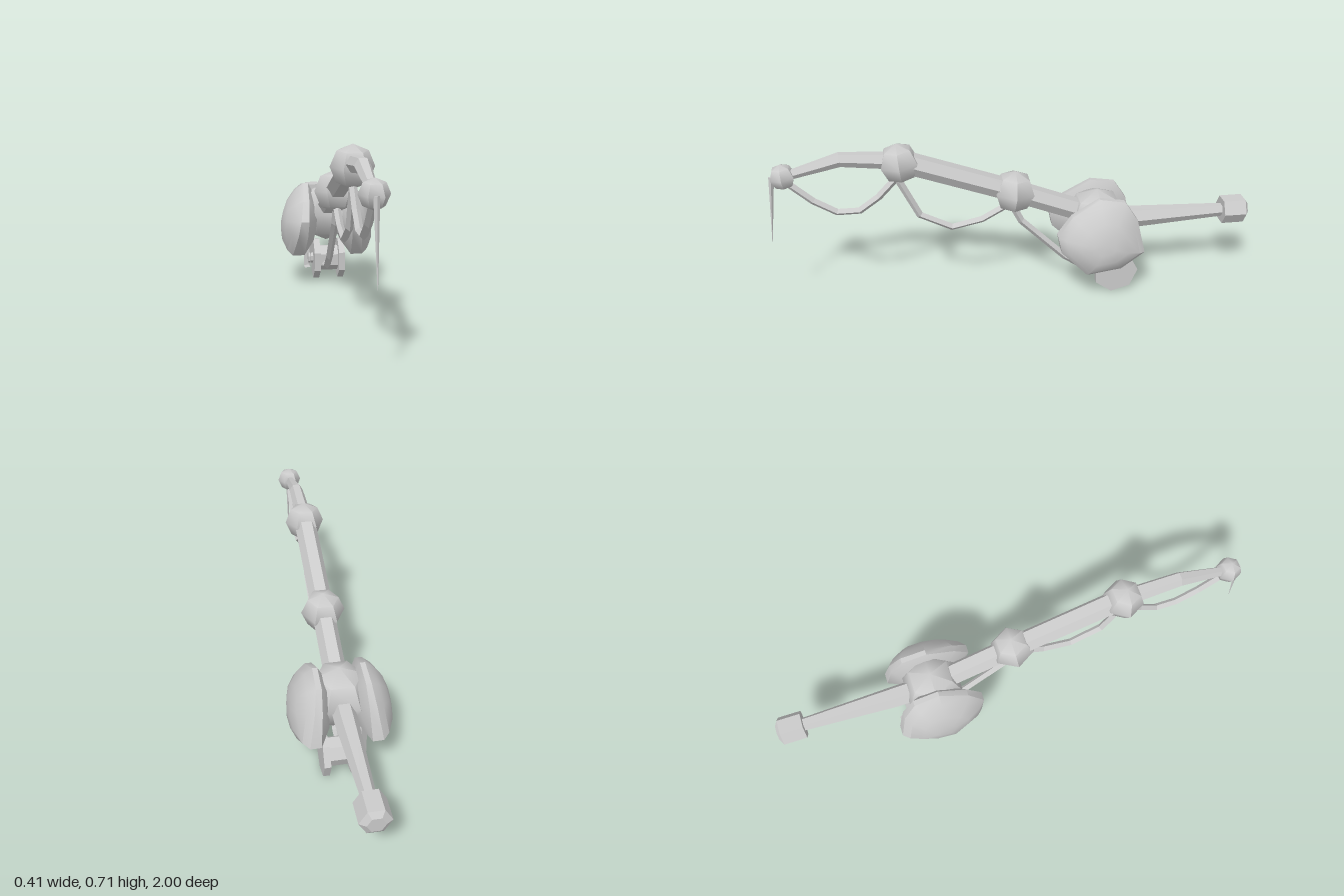
import * as THREE from 'three';
import { toCreasedNormals } from 'three/addons/utils/BufferGeometryUtils.js';

const material = new THREE.MeshStandardMaterial({ color: 0xcccccc });
const V = (x, y, z) => new THREE.Vector3(x, y, z);

// Skin a list of rings (equal point counts) and close both ends
function loft(rings, crease) {
  const pos = [];
  const tri = (a, b, c) => { for (const p of [a, b, c]) pos.push(p.x, p.y, p.z); };
  const middle = r => r.reduce((s, p) => s.add(p), V(0, 0, 0)).divideScalar(r.length);
  const n = rings[0].length, last = rings[rings.length - 1];
  const m0 = middle(rings[0]), m1 = middle(last);
  for (let j = 0; j < n; j++) {
    const k = (j + 1) % n;
    tri(m0, rings[0][k], rings[0][j]);
    tri(m1, last[j], last[k]);
    for (let i = 0; i < rings.length - 1; i++) {
      const a = rings[i], b = rings[i + 1];
      tri(a[j], a[k], b[k]);
      tri(a[j], b[k], b[j]);
    }
  }
  const g = new THREE.BufferGeometry();
  g.setAttribute('position', new THREE.Float32BufferAttribute(pos, 3));
  return toCreasedNormals(g, crease);
}

// Many-sided bar along a path of [z, y, radius] in the middle plane
function bar(path, sides) {
  const rings = path.map(([z, y, r], i) => {
    const a = path[Math.max(i - 1, 0)], b = path[Math.min(i + 1, path.length - 1)];
    const t = V(0, b[1] - a[1], b[0] - a[0]).normalize();
    return Array.from({ length: sides }, (_, j) => {
      const q = j / sides * Math.PI * 2, h = r * Math.sin(q);
      return V(r * Math.cos(q), y + h * t.z, z - h * t.y);
    });
  });
  return loft(rings, 0.1);
}

export function createModel() {
  const model = new THREE.Group();
  const add = (name, geometry) => {
    const mesh = new THREE.Mesh(geometry, material);
    mesh.name = name;
    model.add(mesh);
    return mesh;
  };

  // Rod: handle, shaft and tapering tip
  add('handle', bar([[-0.91, 0.318, 0.027], [-0.5, 0.313, 0.046], [-0.34, 0.325, 0.046]], 6));
  add('shaft', bar([[-0.34, 0.335, 0.046], [0.01, 0.473, 0.046], [0.47, 0.64, 0.046]], 6));
  add('tipRod', bar([[0.47, 0.64, 0.036], [0.7, 0.66, 0.03], [0.92, 0.6, 0.018]], 6));
  add('buttCap', bar([[-1, 0.318, 0.035], [-0.985, 0.318, 0.06], [-0.89, 0.318, 0.06]], 6));

  // Faceted beads on the rod and the hub
  for (const [name, z, y, r, tilt] of [
    ['hub', -0.34, 0.325, 0.13, 0],
    ['lowerBead', 0.01, 0.471, 0.09, -0.08],
    ['upperBead', 0.47, 0.63, 0.083, 0.1],
    ['tipBead', 0.925, 0.6, 0.053, 0.1],
  ]) {
    const bead = add(name, toCreasedNormals(new THREE.SphereGeometry(r, 6, 4), 0.9));
    bead.position.set(0, y, z);
    bead.rotation.x = tilt;
  }

  // Domed side shells, splayed outwards at the bottom: [z, y] outline
  const outline = [[-0.33, 0.458], [-0.215, 0.39], [-0.155, 0.31], [-0.17, 0.24], [-0.275, 0.137],
    [-0.42, 0.155], [-0.52, 0.22], [-0.488, 0.36], [-0.435, 0.44]];
  const cz = -0.34, cy = 0.29;
  const innerX = y => 0.105 - (y - 0.14) * 0.07;
  const outerX = y => 0.157 - (y - 0.14) * 0.17;
  for (const side of [1, -1]) {
    const ring = (scale, edge, offset) => outline.map(([z, y]) => {
      const py = cy + (y - cy) * scale;
      return V(side * (edge(py) + offset), py, cz + (z - cz) * scale);
    });
    const rings = [
      ring(0.6, innerX, -0.04), ring(1, innerX, 0), ring(1, outerX, 0),
      ring(0.85, outerX, 0.028), ring(0.55, outerX, 0.057), ring(0.25, outerX, 0.068),
    ];
    if (side < 0) rings.reverse();
    add(side > 0 ? 'leftShell' : 'rightShell', loft(rings, 0.65));
  }

  // Reel: two flanges, drum and axle
  const disc = (name, r, x0, x1) => {
    const g = new THREE.CylinderGeometry(r, r, x1 - x0, 7, 1, false, 0.394).rotateZ(Math.PI / 2);
    add(name, toCreasedNormals(g, 0.1)).position.set((x0 + x1) / 2, 0.094, -0.417);
  };
  disc('rightFlange', 0.096, -0.053, -0.025);
  disc('leftFlange', 0.096, 0.06, 0.087);
  disc('drum', 0.06, -0.025, 0.06);
  disc('axle', 0.025, -0.075, -0.053);

  // Crank arm beside the reel
  const arm = [[-0.4, 0.05], [-0.35, 0.145], [-0.39, 0.29], [-0.45, 0.29], [-0.45, 0.05]];
  const armRing = x => arm.map(([z, y]) => V(x, y, z)).reverse();
  add('crankArm', loft([armRing(-0.066), armRing(-0.092)], 0.1));

  // Sagging line between the beads, running down to the reel: [z, y]
  const sags = [
    [[0.91, 0.57], [0.82, 0.485], [0.73, 0.428], [0.64, 0.428], [0.56, 0.485], [0.47, 0.58]],
    [[0.485, 0.57], [0.4, 0.39], [0.27, 0.323], [0.145, 0.35], [0.02, 0.42]],
    [[0.02, 0.41], [-0.02, 0.33], [-0.21, 0.14], [-0.295, 0.083], [-0.37, 0.075]],
  ];
  sags.forEach((s, i) => add('line' + (i + 1), bar(s.map(p => [...p, 0.015]), 4)));

  // Needle hanging from the tip
  add('needle', bar([[0.968, 0.6, 0.011], [1, 0.313, 0.001]], 4));
  return model;
}
